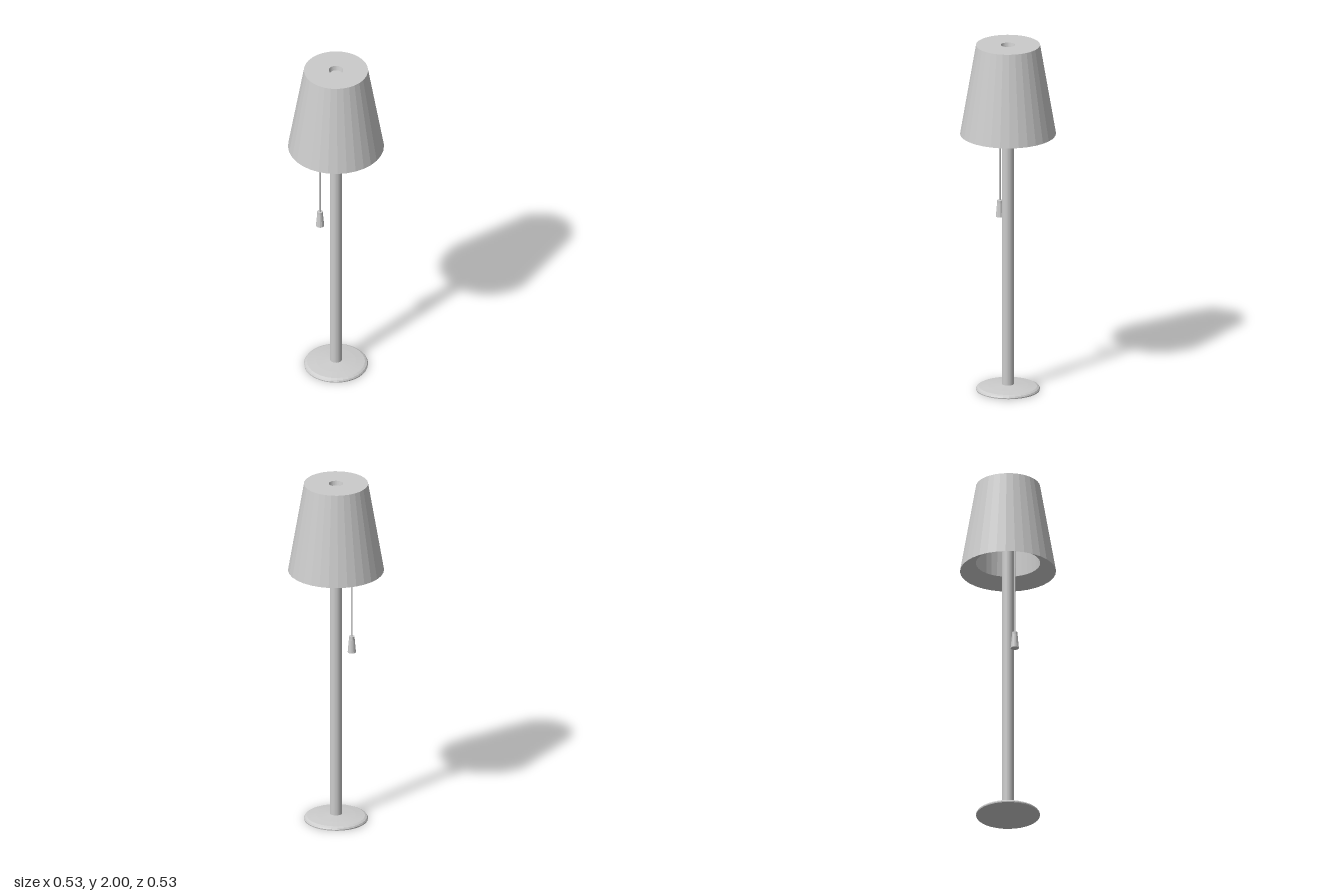
import * as THREE from 'three';

const SIDES = 32;

// Revolve [radius, y] pairs, listed so that outer walls run upwards
function turned(name, profile, sides, flatShading = true) {
  const points = profile.map(([r, y]) => new THREE.Vector2(r, y));
  const material = new THREE.MeshStandardMaterial({ color: 0xcccccc, flatShading, side: THREE.DoubleSide });
  const mesh = new THREE.Mesh(new THREE.LatheGeometry(points, sides), material);
  mesh.name = name;
  return mesh;
}

export function createModel() {
  const lamp = new THREE.Group();
  lamp.name = 'floorLamp';

  // Low domed foot with a rounded rim
  lamp.add(turned('base', [
    [0, 0], [0.176, 0], [0.177, 0.006], [0.172, 0.014], [0.16, 0.02],
    [0.11, 0.026], [0.033, 0.032], [0, 0.032],
  ], SIDES));

  // Straight post, ending just below the hole in the shade
  lamp.add(turned('post', [[0, 0.02], [0.033, 0.02], [0.033, 1.975], [0, 1.975]], SIDES));

  // Tapered shade: outer wall, top with a hole, inner wall, bevelled lower lip
  lamp.add(turned('shade', [
    [0.265, 1.485], [0.177, 2], [0.04, 2], [0.035, 1.97],
    [0.165, 1.97], [0.178, 1.535], [0.265, 1.485],
  ], SIDES));

  // Pull cord with its tapered handle
  const pull = new THREE.Group();
  pull.name = 'pullSwitch';
  pull.position.set(-0.051, 0, 0.084);
  pull.add(turned('cord', [[0.005, 1.06], [0.005, 1.75], [0, 1.75]], 8, false));
  pull.add(turned('handle', [
    [0, 0.975], [0.023, 0.975], [0.016, 1.055], [0.016, 1.07], [0, 1.07],
  ], 12));
  lamp.add(pull);

  return lamp;
}
